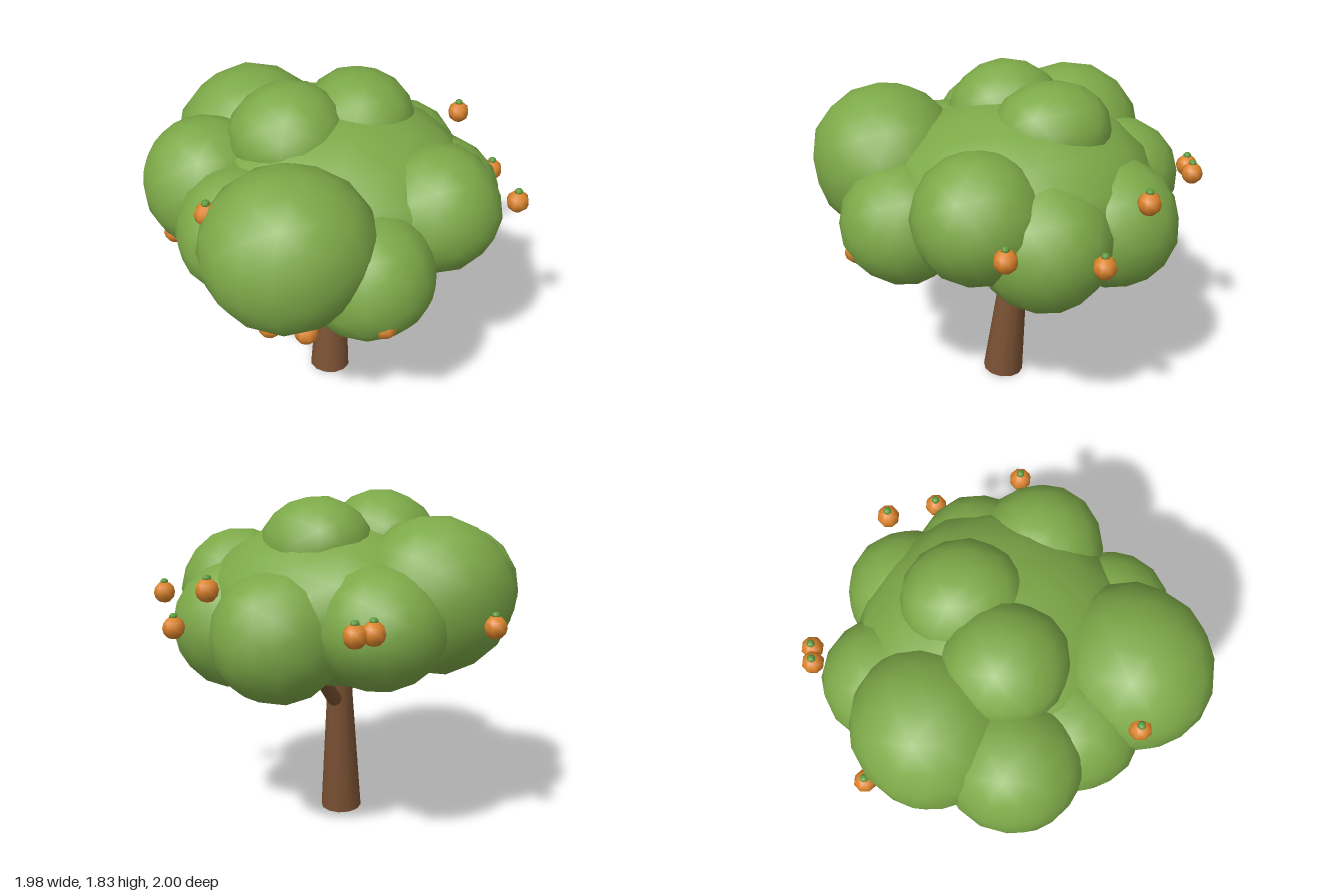
import * as THREE from 'three';
import { mergeVertices } from 'three/addons/utils/BufferGeometryUtils.js';

const mat = (name, color) => {
  const m = new THREE.MeshStandardMaterial({ color });
  m.name = name;
  return m;
};

// Smooth low-poly ball with gentle lumps
function lumpGeometry(seed) {
  let g = new THREE.IcosahedronGeometry(1, 2);
  g.deleteAttribute('normal');
  g.deleteAttribute('uv');
  g = mergeVertices(g, 1e-3);
  const p = g.attributes.position;
  const v = new THREE.Vector3();
  for (let i = 0; i < p.count; i++) {
    v.fromBufferAttribute(p, i);
    const n = Math.sin(v.x * 5 + seed) + Math.sin(v.y * 6 + seed * 2.3) + Math.sin(v.z * 5.5 + seed * 1.7);
    v.multiplyScalar(1.005 + 0.008 * n);
    p.setXYZ(i, v.x, v.y, v.z);
  }
  g.computeVertexNormals();
  return g;
}

// Tapered limb between two points
function limb(name, from, to, r0, r1, material) {
  const a = new THREE.Vector3(...from), b = new THREE.Vector3(...to);
  const dir = b.clone().sub(a);
  const mesh = new THREE.Mesh(new THREE.CylinderGeometry(r1, r0, dir.length(), 12), material);
  mesh.name = name;
  mesh.position.copy(a).add(b).multiplyScalar(0.5);
  mesh.quaternion.setFromUnitVectors(new THREE.Vector3(0, 1, 0), dir.normalize());
  return mesh;
}

export function createModel() {
  const tree = new THREE.Group();
  tree.name = 'fruitTree';
  const bark = mat('bark', 0x7a5133);
  const leaf = mat('foliage', 0x7da948);
  const peel = mat('fruitPeel', 0xdb832b);
  const calyx = mat('fruitCap', 0x5f9a3c);

  // Leaning trunk and two branches with rounded roots
  tree.add(limb('trunk', [-0.045, 0.012, 0.073], [0, 0.9, -0.008], 0.115, 0.06, bark));
  for (const s of [-1, 1]) {
    const root = [0.045 * s, 0.69, -0.04 * s];
    tree.add(limb('branch', root, [0.25 * s, 0.95, -0.22 * s], 0.042, 0.032, bark));
    const knuckle = new THREE.Mesh(new THREE.SphereGeometry(0.042, 12, 8), bark);
    knuckle.name = 'branchRoot';
    knuckle.position.set(...root);
    tree.add(knuckle);
  }

  // Crown lumps: centre, then radii
  const lumps = [
    [0.02, 1.235, 0, 0.73, 0.455, 0.72],
    [-0.39, 1.32, 0.6, 0.44, 0.41, 0.4],
    [0.0, 1.115, 0.65, 0.335, 0.33, 0.335],
    [0.425, 1.275, 0.405, 0.345, 0.335, 0.335],
    [0.55, 1.125, 0.095, 0.345, 0.345, 0.35],
    [0.475, 1.125, -0.33, 0.34, 0.345, 0.345],
    [0.025, 1.185, -0.595, 0.34, 0.315, 0.345],
    [-0.335, 1.315, -0.47, 0.425, 0.41, 0.41],
    [-0.645, 1.275, -0.145, 0.355, 0.36, 0.355],
    [-0.54, 1.19, 0.22, 0.345, 0.345, 0.345],
    [-0.23, 1.55, -0.04, 0.315, 0.28, 0.32],
    [0.17, 1.55, -0.12, 0.295, 0.265, 0.32],
  ];
  const crown = new THREE.Group();
  crown.name = 'crown';
  lumps.forEach(([x, y, z, rx, ry, rz], i) => {
    const m = new THREE.Mesh(lumpGeometry(i * 1.9 + 0.5), leaf);
    m.name = 'foliageLump';
    m.position.set(x, y, z);
    m.scale.set(rx, ry, rz);
    crown.add(m);
  });
  tree.add(crown);

  // Round fruits with a small green cap
  const fruitGeo = new THREE.SphereGeometry(0.06, 8, 6);
  const capGeo = new THREE.SphereGeometry(0.022, 8, 5);
  const fruits = [
    [0.825, 1.385, -0.32], [0.865, 1.265, 0.45], [0.93, 1.155, -0.03],
    [0.22, 1.24, -0.94], [0.305, 1.23, -0.92], [-0.465, 1.205, -0.87],
    [-0.86, 1.0, -0.12], [-0.36, 0.97, 0.825], [-0.53, 1.03, 0.8],
    [0.005, 1.0, 0.918], [-0.745, 1.49, 0.465],
  ];
  for (const pos of fruits) {
    const fruit = new THREE.Group();
    fruit.name = 'fruit';
    const body = new THREE.Mesh(fruitGeo, peel);
    body.name = 'fruitBody';
    const cap = new THREE.Mesh(capGeo, calyx);
    cap.name = 'fruitCap';
    cap.position.y = 0.06;
    cap.scale.y = 0.8;
    fruit.add(body, cap);
    fruit.position.set(...pos);
    tree.add(fruit);
  }
  return tree;
}
